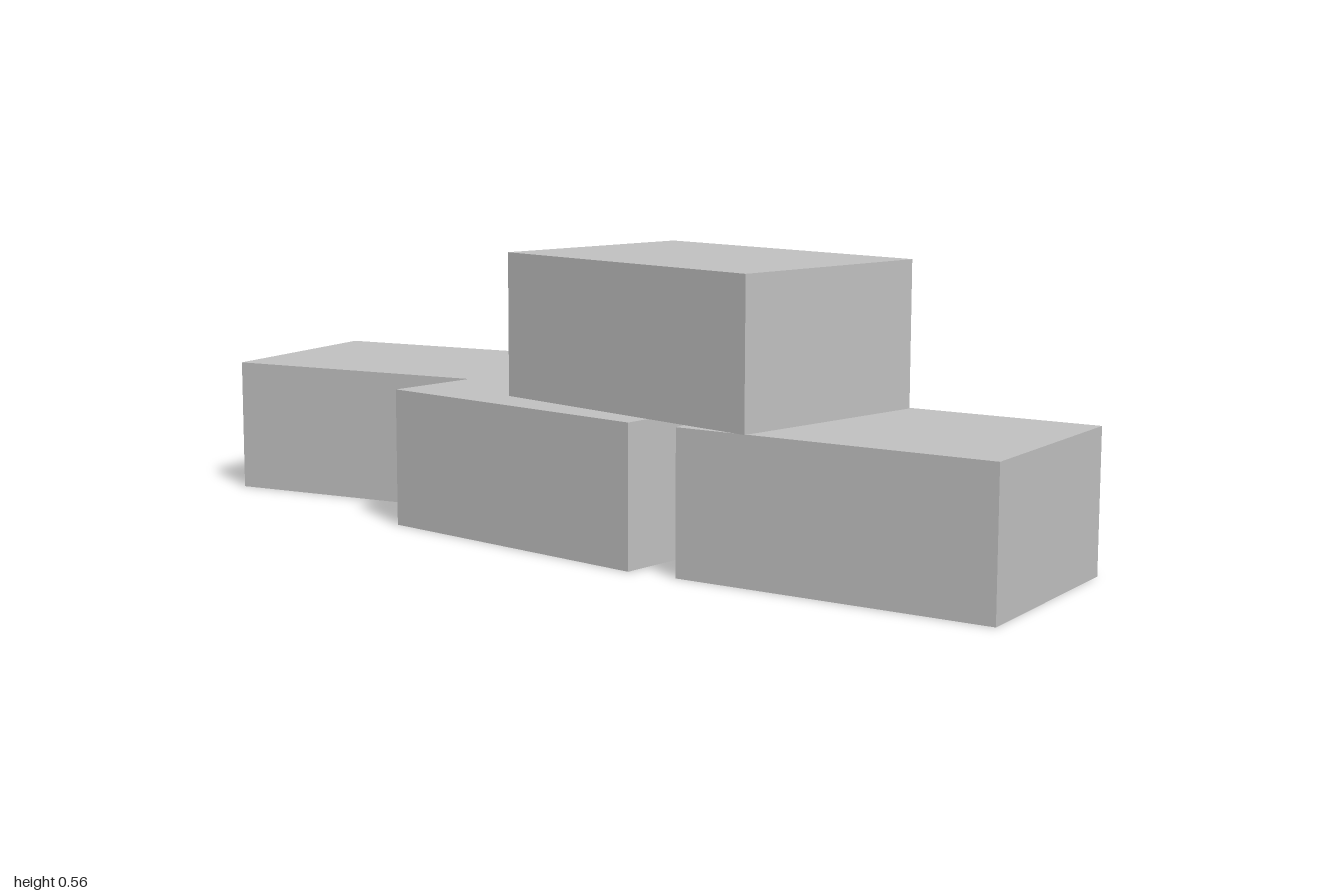
import * as THREE from 'three';

export function createModel() {
  const model = new THREE.Group();
  model.name = 'blockPile';

  const stone = new THREE.MeshStandardMaterial({ color: 0xc0c0c0 });
  stone.name = 'stone grey';

  // All blocks share one size
  const height = 0.274;
  const block = new THREE.BoxGeometry(0.62, height, 0.436);

  // name, x, base height, z, turn in degrees
  const layout = [
    ['rightBlock', -0.645, 0, -0.041, 15],
    ['middleBlock', -0.022, 0, 0.084, 0],
    ['leftBlock', 0.662, 0, 0.025, 8],
    ['topBlock', 0.288, 0.287, 0.086, -5],
  ];
  for (const [name, x, base, z, turn] of layout) {
    const mesh = new THREE.Mesh(block, stone);
    mesh.name = name;
    mesh.position.set(x, base + height / 2, z);
    mesh.rotation.y = THREE.MathUtils.degToRad(turn);
    model.add(mesh);
  }
  return model;
}
